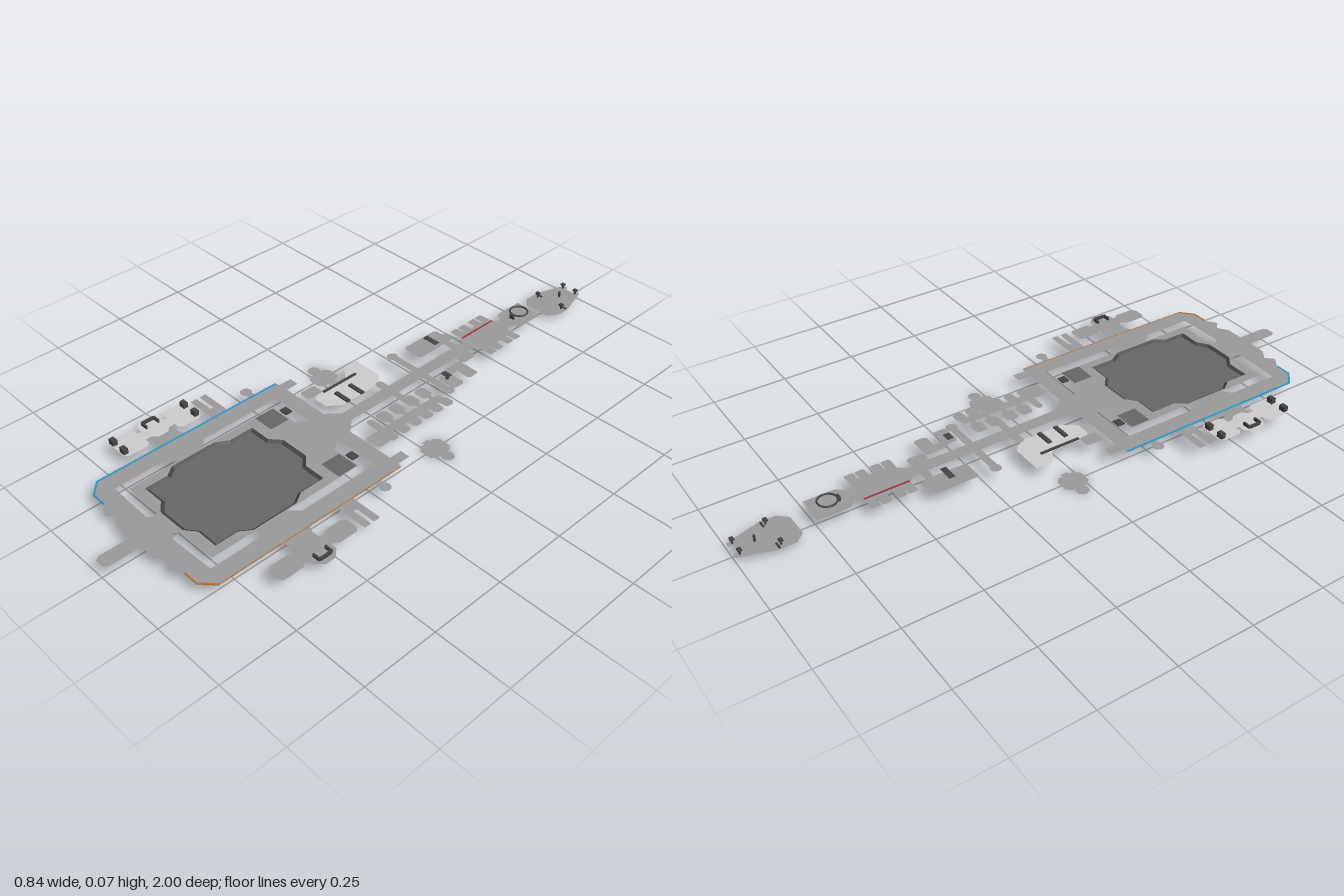
import * as THREE from 'three';
import { mergeGeometries } from 'three/addons/utils/BufferGeometryUtils.js';

const DECK = 0.053;
const mat = (color) => new THREE.MeshStandardMaterial({ color, side: THREE.DoubleSide, flatShading: true });
const GREY = mat(0x999999), DARK = mat(0x666666), LIGHT = mat(0xcccccc), TRIM = mat(0x444444);
const BLUE = mat(0x2299cc), ORANGE = mat(0xb07030), RED = mat(0xa03040);

const mirrorPts = (half) => [...half, ...half.map(([x, z]) => [-x, z]).reverse()];
const flip = (pts) => pts.map(([x, z]) => [-x, z]);
const vecs = (pts) => pts.map(([x, z]) => new THREE.Vector2(x, -z));

// Flat deck from a plan outline of [x, z] points
function plate(pts, y, holes = []) {
  const s = new THREE.Shape(vecs(pts));
  for (const h of holes) s.holes.push(new THREE.Path(vecs(h)));
  return new THREE.ShapeGeometry(s).rotateX(-Math.PI / 2).translate(0, y, 0);
}
// Rectangular deck with cut corners: centre x, z, width, depth
function room([x, z, w, d, c = 0.008], y = DECK) {
  const a = w / 2, b = d / 2;
  return plate([[-a + c, -b], [a - c, -b], [a, -b + c], [a, b - c], [a - c, b], [-a + c, b], [-a, b - c], [-a, -b + c]]
    .map(([u, v]) => [x + u, z + v]), y);
}
const block = (x, y, z, w, h, d) => new THREE.BoxGeometry(w, h, d).translate(x, y, z);
const disc = (x, z, r, y = DECK) => new THREE.CircleGeometry(r, 16).rotateX(-Math.PI / 2).translate(x, y, z);

export function createModel() {
  const model = new THREE.Group();
  const add = (name, geos, material) => {
    const mesh = new THREE.Mesh(mergeGeometries(geos.map((g) => (g.index ? g.toNonIndexed() : g))), material);
    mesh.name = name;
    model.add(mesh);
  };

  // Ring deck, open around the inner court and cut out for the arena
  const outer = mirrorPts([
    [0.02, 0.10], [0.06, 0.145], [0.23, 0.145], [0.23, 0.10], [0.265, 0.10], [0.265, 0.145], [0.28, 0.15],
    [0.28, 0.82], [0.235, 0.86], [0.18, 0.86], [0.145, 0.885], [0.12, 0.86], [0.085, 0.885],
    [0.025, 0.885], [0.025, 0.985], [0.015, 1.0],
  ]);
  const gapTop = [[0.06, 0.2], [0.22, 0.2], [0.22, 0.48], [0.19, 0.51], [0.19, 0.235], [0.09, 0.235]];
  const gapLow = [[0.22, 0.63], [0.22, 0.8], [0.06, 0.805], [0.045, 0.79], [0.055, 0.772], [0.19, 0.772], [0.19, 0.6]];
  const rim = mirrorPts([
    [0.05, 0.315], [0.085, 0.345], [0.16, 0.345], [0.16, 0.43], [0.185, 0.47], [0.185, 0.625],
    [0.16, 0.66], [0.16, 0.738], [0.085, 0.738], [0.05, 0.765],
  ]);
  add('ringDeck', [plate(outer, DECK, [gapTop, flip(gapTop), gapLow, flip(gapLow), rim])], GREY);

  // Sunken arena: floor and sloping wall
  const base = rim.map(([x, z]) => [x * 0.95, 0.54 + (z - 0.54) * 0.95]);
  const low = 0.046, wall = [];
  rim.forEach(([x, z], i) => {
    const j = (i + 1) % rim.length, [x2, z2] = rim[j], [a, c] = base[i], [a2, c2] = base[j];
    wall.push(x, DECK, z, a, low, c, x2, DECK, z2, x2, DECK, z2, a, low, c, a2, low, c2);
  });
  const wallGeo = new THREE.BufferGeometry();
  wallGeo.setAttribute('position', new THREE.Float32BufferAttribute(wall, 3));
  wallGeo.computeVertexNormals();
  add('arenaFloor', [plate(base, low)], DARK);
  add('arenaWall', [wallGeo], TRIM);
  add('courtPads', [-1, 1].map((s) => room([s * 0.15, 0.275, 0.075, 0.07, 0.002], DECK + 0.001)), DARK);
  add('courtPosts', [-1, 1].map((s) => block(s * 0.148, DECK + 0.003, 0.22, 0.03, 0.004, 0.025)), TRIM);

  // Spine corridor running to the dock
  add('spine', [plate(mirrorPts([
    [0.05, -0.76], [0.05, -0.655], [0.025, -0.635], [0.025, -0.62], [0.038, -0.61], [0.038, -0.455],
    [0.022, -0.44], [0.022, 0.11],
  ]), DECK)], GREY);
  add('dockRing', [
    new THREE.TorusGeometry(0.03, 0.003, 6, 24).rotateX(Math.PI / 2).translate(0, 0.067, -0.705),
    block(0, 0.06, -0.67, 0.018, 0.018, 0.006),
  ], TRIM);

  // Rows of cabins along the spine
  const cabins = [];
  for (const s of [-1, 1]) {
    for (const z of [-0.595, -0.56, -0.51, -0.475]) cabins.push(room([s * 0.066, z, 0.048, 0.031, 0.004]));
    cabins.push(room([s * 0.045, -0.535, 0.02, 0.15, 0.002]));
  }
  add('cabins', cabins, GREY);

  // Side rooms and cross corridors: [x, z, width, depth]
  const rooms = [
    [-0.095, -0.355, 0.075, 0.15], [-0.08, -0.42, 0.04, 0.04], [0, -0.405, 0.12, 0.028], [0.042, -0.39, 0.036, 0.06],
    [0.085, -0.335, 0.085, 0.045], [0.06, -0.3, 0.03, 0.05], [0.095, -0.262, 0.075, 0.048],
    [0, -0.22, 0.25, 0.026], [0.02, -0.085, 0.16, 0.026], [-0.03, -0.085, 0.06, 0.03],
    [0.132, -0.02, 0.03, 0.32], [0.11, 0.07, 0.1, 0.025], [0.155, 0.11, 0.04, 0.05],
    [-0.166, 0.1, 0.045, 0.06],
  ];
  for (const z of [-0.15, -0.095, -0.035, 0.02]) rooms.push([0.08, z, 0.05, 0.042], [0.105, z, 0.04, 0.016, 0.001]);
  for (const z of [-0.17, -0.125, -0.08, -0.03, 0.02, 0.07]) rooms.push([0.16, z, 0.042, 0.036], [0.14, z, 0.03, 0.016, 0.001]);
  add('sideRooms', [
    ...rooms.map((r) => room(r)), disc(-0.125, -0.22, 0.019), disc(0.125, -0.22, 0.019),
  ], GREY);
  add('roomFittings', [
    block(0.082, 0.06, -0.26, 0.008, 0.018, 0.008), block(0.075, 0.066, -0.262, 0.03, 0.002, 0.02),
    block(-0.085, 0.07, -0.36, 0.055, 0.001, 0.02),
  ], TRIM);

  // Pale bay beside the spine
  add('paleBay', [plate([
    [-0.195, -0.12], [-0.085, -0.12], [-0.052, -0.08], [-0.052, 0.07], [-0.085, 0.112], [-0.13, 0.112],
    [-0.148, 0.09], [-0.148, -0.03], [-0.195, -0.07],
  ], DECK - 0.002)], LIGHT);
  add('paleBayFittings', [
    ...[-0.015, 0.045].map((z) => block(-0.082, DECK, z, 0.06, 0.006, 0.014)),
    block(-0.142, DECK, 0, 0.008, 0.004, 0.14),
  ], TRIM);

  for (const s of [-1, 1]) {
    const side = s < 0 ? 'right' : 'left';
    // Detached low outposts
    add(side + 'Outpost', [
      room([s * 0.25, -0.028, 0.07, 0.085, 0.015], 0), room([s * 0.26, -0.03, 0.11, 0.024, 0.002], 0),
      disc(s * 0.3, -0.03, 0.021, 0),
    ], GREY);
    // Stubs on the outside of the ring
    add(side + 'RingStubs', [
      room([s * 0.3, 0.245, 0.05, 0.024, 0.002]), disc(s * 0.31, 0.245, 0.019),
      room([s * 0.335, 0.355, 0.11, 0.024, 0.002]), room([s * 0.335, 0.39, 0.11, 0.024, 0.002]),
      room([s * 0.3, 0.372, 0.04, 0.05, 0.002]),
      plate([[0.27, 0.5], [0.3, 0.515], [0.34, 0.515], [0.34, 0.595], [0.3, 0.595], [0.27, 0.61]].map(([x, z]) => [s * x, z]), DECK),
    ], GREY);
    // Annex beside the ring
    const w = s < 0 ? 0.098 : 0.064;
    add(side + 'Annex', [
      room([s * 0.355, 0.46, w, 0.085, 0.012], 0.055), room([s * 0.355, 0.655, w, 0.09, 0.012], 0.055),
      room([s * 0.355, 0.555, 0.04, 0.2, 0.002], 0.055), room([s * 0.37, 0.555, 0.1, 0.085, 0.025], 0.055),
    ], s < 0 ? LIGHT : GREY);
    add(side + 'AnnexConsole', [
      block(s * 0.4, 0.06, 0.555, 0.006, 0.011, 0.04),
      ...[-1, 1].map((k) => block(s * 0.387, 0.06, 0.555 + k * 0.022, 0.026, 0.011, 0.006)),
    ], TRIM);
  }
  // Lockers in the pale annex
  const lockers = [];
  for (const z of [0.43, 0.69]) for (const x of [-0.385, -0.33]) lockers.push(block(x, 0.064, z, 0.022, 0.018, 0.016));
  add('annexLockers', lockers, TRIM);

  // Coloured edge strips
  add('blueEdge', [block(-0.279, DECK, 0.485, 0.006, 0.002, 0.67),
    block(0, 0, 0, 0.062, 0.002, 0.006).rotateY(-0.73).translate(-0.257, DECK, 0.84),
    block(-0.21, DECK, 0.859, 0.05, 0.002, 0.005)], BLUE);
  add('orangeEdge', [block(0, 0, 0, 0.062, 0.002, 0.006).rotateY(0.73).translate(0.257, DECK, 0.84),
    block(0.21, DECK, 0.859, 0.05, 0.002, 0.005), block(0.279, DECK, 0.485, 0.002, 0.002, 0.67)], ORANGE);
  add('redEdge', [block(-0.038, DECK + 0.001, -0.535, 0.005, 0.002, 0.15)], RED);

  // Docked shuttle with its consoles and seats
  add('shuttleDeck', [plate(mirrorPts([
    [0.014, -0.985], [0.018, -1.0], [0.036, -1.0], [0.07, -0.89], [0.07, -0.835], [0.042, -0.805],
  ]), 0.024)], GREY);
  const seats = [block(0, 0.036, -0.93, 0.006, 0.022, 0.006)];
  for (const s of [-1, 1]) {
    for (const [x, z] of [[0.052, -0.875], [0.027, -0.985]]) {
      seats.push(block(s * x, 0.033, z, 0.005, 0.018, 0.005), block(s * x, 0.04, z, 0.014, 0.006, 0.012));
    }
    seats.push(block(s * 0.054, 0.026, -0.885, 0.025, 0.003, 0.006));
  }
  add('shuttleSeats', seats, TRIM);
  return model;
}
